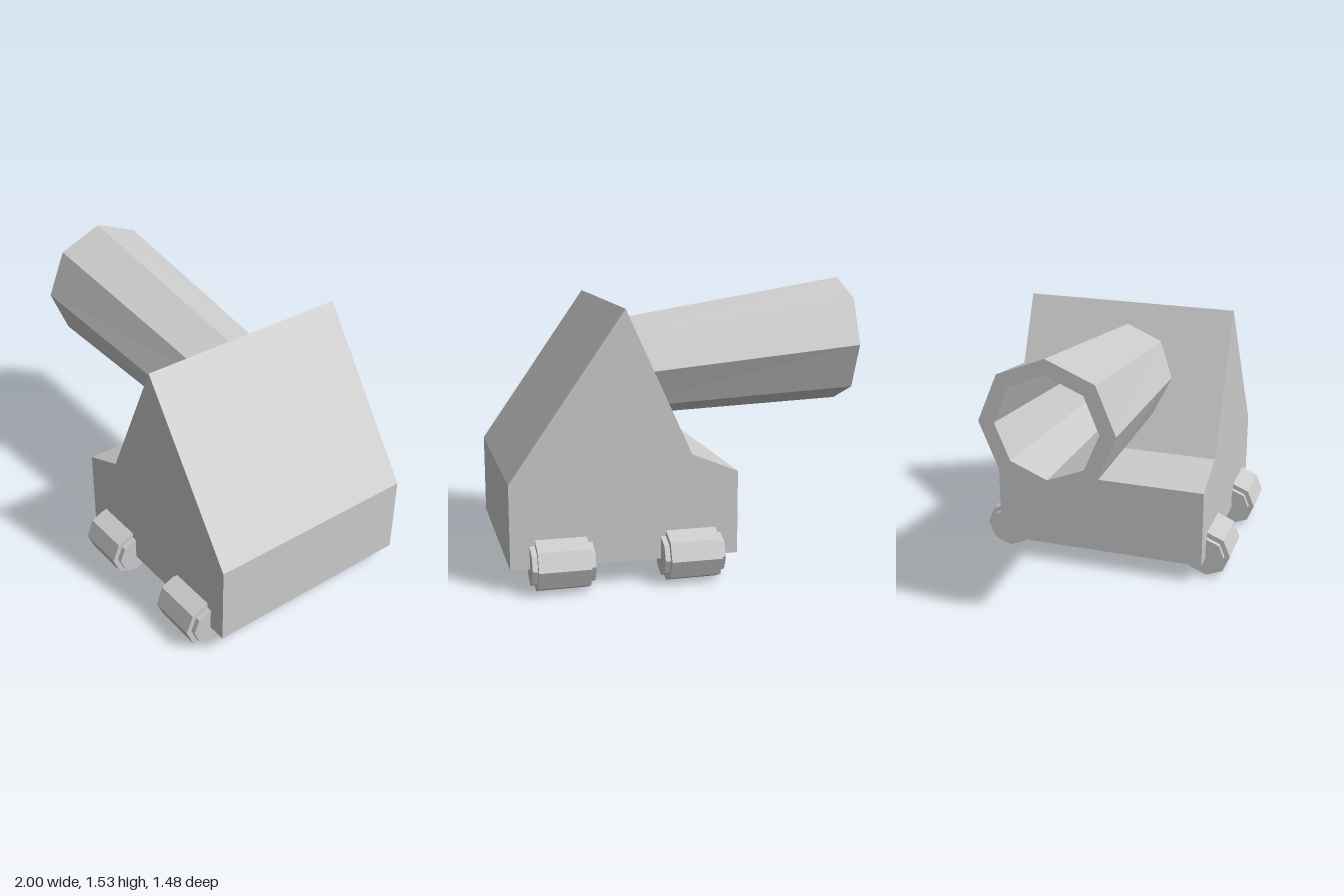
import * as THREE from 'three';

const material = new THREE.MeshStandardMaterial({ color: 0xcccccc, flatShading: true });
const SIDES = 8;

// Skin octagonal sections [x, centre y, radius y, radius z], closing only the last one.
function loft(sections) {
  const points = [];
  const corner = ([x, y, ry, rz], k) => {
    const a = (k / SIDES) * Math.PI * 2;
    return [x, y + ry * Math.cos(a), rz * Math.sin(a)];
  };
  for (let i = 0; i < sections.length - 1; i++) {
    for (let k = 0; k < SIDES; k++) {
      const a = corner(sections[i], k), b = corner(sections[i], k + 1);
      const c = corner(sections[i + 1], k + 1), d = corner(sections[i + 1], k);
      points.push(...a, ...c, ...b, ...a, ...d, ...c);
    }
  }
  const end = sections[sections.length - 1];
  for (let k = 0; k < SIDES; k++) {
    points.push(...corner(end, k + 1), ...corner(end, k), end[0], end[1], 0);
  }
  const geometry = new THREE.BufferGeometry();
  geometry.setAttribute('position', new THREE.Float32BufferAttribute(points, 3));
  geometry.computeVertexNormals();
  return geometry;
}

function addMesh(parent, name, geometry) {
  const mesh = new THREE.Mesh(geometry, material);
  mesh.name = name;
  parent.add(mesh);
}

// Octagonal roller along x with a corner pointing up
function roller(radius, length) {
  return new THREE.CylinderGeometry(radius, radius, length, SIDES).rotateZ(Math.PI / 2);
}

export function createModel() {
  const model = new THREE.Group();
  model.name = 'cannon';

  // Carriage: side profile extruded across the width
  const profile = [[-0.21, 0.12], [1, 0.12], [1, 0.567], [0.39, 1.437], [0.04, 0.67], [-0.21, 0.567]];
  const shape = new THREE.Shape(profile.map(([x, y]) => new THREE.Vector2(x, y)));
  const carriage = new THREE.ExtrudeGeometry(shape, { depth: 1.21, bevelEnabled: false });
  addMesh(model, 'carriage', carriage.translate(0, 0, -0.605));

  // Barrel: tapered outside, flat muzzle ring, then the bore inside
  const barrel = loft([
    [0.4, 1.043, 0.268, 0.29],
    [-1, 1.178, 0.353, 0.353],
    [-1, 1.178, 0.27, 0.27],
    [0.2, 1.062, 0.215, 0.225],
  ]);
  addMesh(model, 'barrel', barrel);

  // Four wheels, each with a narrower hub showing at both ends
  for (const x of [0.048, 0.737]) {
    for (const z of [-0.605, 0.605]) {
      const wheel = new THREE.Group();
      wheel.name = 'wheel';
      wheel.position.set(x, 0.136, z);
      addMesh(wheel, 'tread', roller(0.135, 0.27));
      addMesh(wheel, 'hub', roller(0.105, 0.325));
      model.add(wheel);
    }
  }
  return model;
}
